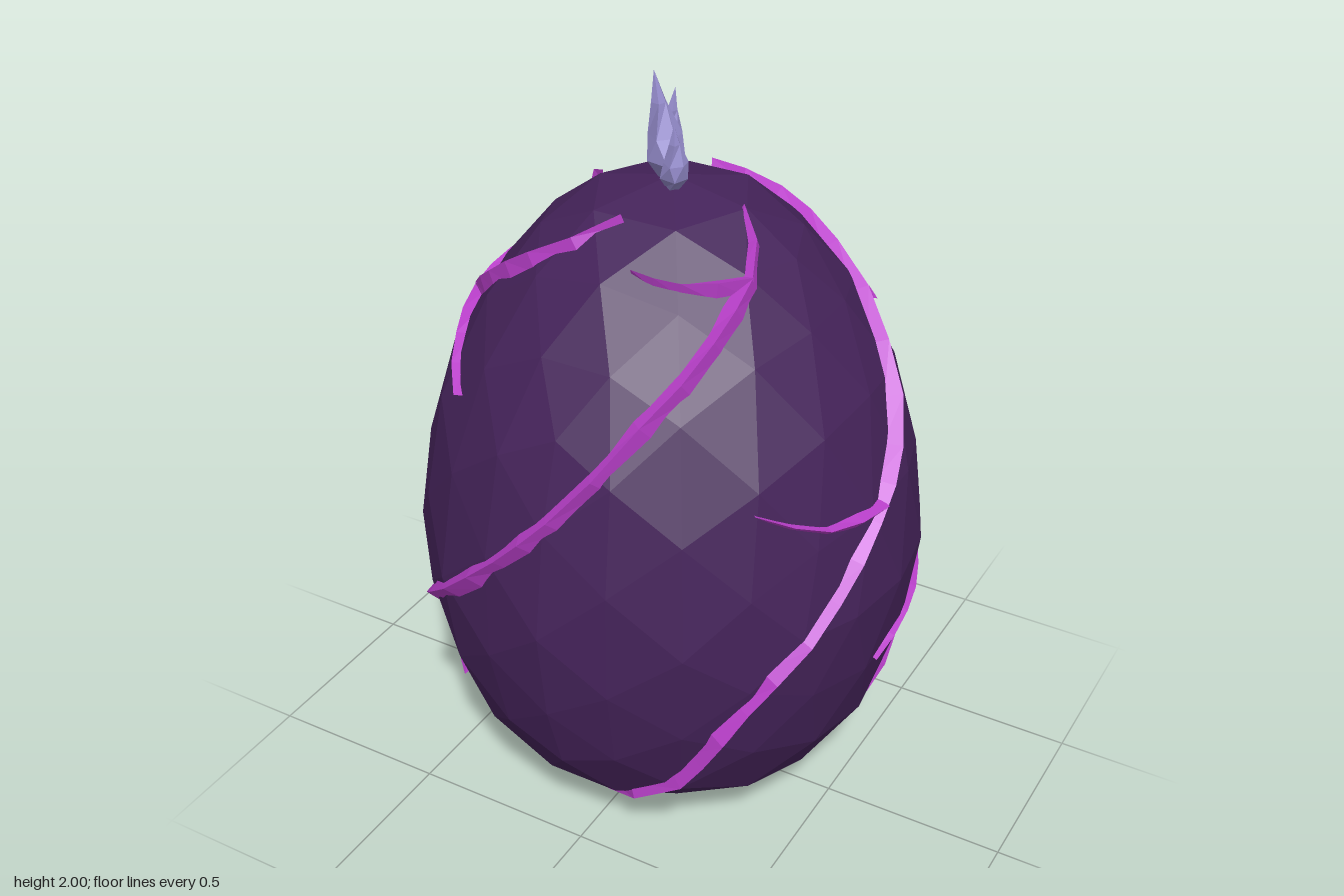
import * as THREE from 'three';

const shellMat = new THREE.MeshStandardMaterial({ color: 0x45235a });
shellMat.name = 'dark purple shell';
const veinMat = new THREE.MeshStandardMaterial({ color: 0xb93fca });
veinMat.name = 'magenta vein';
const crystalMat = new THREE.MeshStandardMaterial({ color: 0x988fd0 });
crystalMat.name = 'lavender crystal';
for (const m of [shellMat, veinMat, crystalMat]) m.flatShading = true;

// Egg outline as [height, radius]
const PROFILE = [
  [0, 0.22], [0.14, 0.45], [0.3, 0.565], [0.5, 0.63], [0.76, 0.667], [1.03, 0.63], [1.23, 0.58],
  [1.43, 0.47], [1.6, 0.34], [1.7, 0.21], [1.735, 0.1], [1.745, 0],
];

function radiusAt(y) {
  for (let i = 1; i < PROFILE.length; i++) {
    const [y0, r0] = PROFILE[i - 1], [y1, r1] = PROFILE[i];
    if (y <= y1) return r0 + (r1 - r0) * (y - y0) / (y1 - y0);
  }
  return 0;
}

// Point on the egg at an angle in degrees (0 = front, 90 = +x)
function onEgg(deg, y) {
  const a = THREE.MathUtils.degToRad(deg), r = radiusAt(y);
  return new THREE.Vector3(r * Math.sin(a), y, r * Math.cos(a));
}

function eggNormal(deg, y) {
  const a = THREE.MathUtils.degToRad(deg), e = 0.06;
  const hi = Math.min(y + e, 1.74), lo = Math.max(y - e, 0);
  const slope = (radiusAt(hi) - radiusAt(lo)) / (hi - lo);
  return new THREE.Vector3(Math.sin(a), -slope, Math.cos(a)).normalize();
}

// Faceted ball reshaped to the egg outline, with a flat foot
function makeShell() {
  const geo = new THREE.IcosahedronGeometry(1, 3);
  const pos = geo.attributes.position;
  const d = new THREE.Vector3();
  for (let i = 0; i < pos.count; i++) {
    d.fromBufferAttribute(pos, i).normalize();
    const flat = Math.hypot(d.x, d.z);
    let y = 0.78 + d.y * (d.y > 0 ? 0.965 : 0.86);
    let r = radiusAt(y);
    if (y < 0) { y = 0; r = Math.min(0.22, flat * 0.76); }
    const k = flat > 1e-5 ? r / flat : 0;
    pos.setXYZ(i, d.x * k, y, d.z * k);
  }
  geo.computeVertexNormals();
  return geo;
}

// Skin closed rings of equal length into a surface
function skin(rings) {
  const n = rings[0].length, v = [], index = [];
  rings.forEach((ring) => ring.forEach((p) => v.push(p.x, p.y, p.z)));
  for (let i = 0; i < rings.length - 1; i++) {
    for (let j = 0; j < n; j++) {
      const a = i * n + j, b = i * n + (j + 1) % n;
      index.push(a, b, b + n, a, b + n, a + n);
    }
  }
  const geo = new THREE.BufferGeometry();
  geo.setAttribute('position', new THREE.Float32BufferAttribute(v, 3));
  geo.setIndex(index);
  const out = geo.toNonIndexed();
  out.computeVertexNormals();
  return out;
}

// Ridged strip that follows [angle, height] points over the shell
function makeVein(path, width, taper) {
  const curve = new THREE.CatmullRomCurve3(path.map(([a, y]) => new THREE.Vector3(a / 100, y, 0)));
  const steps = (path.length - 1) * 2;
  const at = (t) => {
    const p = curve.getPoint(THREE.MathUtils.clamp(t, 0, 1));
    return [p.x * 100, p.y];
  };
  const rings = [];
  for (let i = 0; i <= steps; i++) {
    const t = i / steps;
    const [a, y] = at(t);
    const p = onEgg(a, y), n = eggNormal(a, y);
    const tangent = onEgg(...at(t + 0.02)).sub(onEgg(...at(t - 0.02))).normalize();
    const side = tangent.cross(n).normalize();
    const s = taper(t) * (1 + 0.12 * Math.sin(i * 2.4));
    const place = (across, up) => p.clone().addScaledVector(side, across).addScaledVector(n, up);
    rings.push([place(-width * s, -0.02), place(width * 0.15 * s, 0.004 + 0.018 * s), place(width * s, -0.02)]);
  }
  return skin(rings);
}

// Five-sided shard: narrow foot, swollen waist, pointed tip
function makeCrystal(foot, waist, tip, size) {
  const rings = [[0, 0.55], [0.2, 1], [0.42, 0.8], [0.72, 0.38], [1, 0]].map(([t, w], i) => {
    const c = t < 0.3 ? foot.clone().lerp(waist, t / 0.3) : waist.clone().lerp(tip, (t - 0.3) / 0.7);
    return Array.from({ length: 5 }, (_, j) => {
      const a = (j + (i % 2) * 0.35) / 5 * Math.PI * 2;
      const r = size * w * (j % 2 ? 0.85 : 1.1);
      return new THREE.Vector3(c.x + r * Math.sin(a), c.y, c.z + r * Math.cos(a));
    });
  });
  return skin(rings);
}

const VEINS = [
  [[-8, 1.705], [-41, 1.58], [-60, 1.47], [-75, 1.37], [-92, 1.18], [-101, 1.0], [-113, 0.83], [-128, 0.65],
    [-140, 0.48], [-150, 0.31], [-175, 0.1]],
  [[90, 1.705], [62, 1.6], [43, 1.5], [22, 1.34], [2, 1.1], [-11, 0.95], [-27, 0.78], [-48, 0.6],
    [-62, 0.45], [-74, 0.31], [-86, 0.11]],
  [[180, 1.705], [158, 1.6], [135, 1.5], [110, 1.33], [95, 1.13], [81, 1.0], [67, 0.85], [52, 0.68],
    [41, 0.5], [32, 0.32], [3, 0.1]],
  [[-90, 1.705], [-113, 1.62], [-130, 1.53], [-153, 1.37], [-170, 1.13], [-189, 0.92], [-204, 0.82], [-227, 0.65],
    [-238, 0.5], [-250, 0.33], [-270, 0.13]],
];

const BRANCHES = [
  [[-75, 1.37], [-58, 1.32], [-39, 1.25]],
  [[-75, 1.37], [-90, 1.42], [-109, 1.45]],
  [[62, 1.6], [33, 1.61], [11, 1.63]],
  [[-74, 0.32], [-60, 0.33], [-41, 0.37]],
  [[124, 1.38], [145, 1.35], [162, 1.3]],
  [[84, 1.03], [66, 1.05], [48, 1.14]],
  [[131, 0.65], [115, 0.63], [100, 0.6], [84, 0.56]],
  [[110, 0.33], [122, 0.35], [143, 0.37]],
];

export function createModel() {
  const model = new THREE.Group();
  model.name = 'crystalEgg';
  const add = (geo, mat, name) => {
    const mesh = new THREE.Mesh(geo, mat);
    mesh.name = name;
    model.add(mesh);
  };

  add(makeShell(), shellMat, 'shell');

  // Four spiralling veins and their side branches
  const mainTaper = (t) => Math.min(1, 0.25 + t * 8, 0.2 + (1 - t) * 8);
  VEINS.forEach((path, i) => add(makeVein(path, 0.034, mainTaper), veinMat, `vein${i + 1}`));
  BRANCHES.forEach((path, i) => add(makeVein(path, 0.03, (t) => 1 - 0.85 * t), veinMat, `veinBranch${i + 1}`));

  // Crystal crown: tall centre shard between two short ones
  const v = (x, y, z) => new THREE.Vector3(x, y, z);
  add(makeCrystal(v(0, 1.73, 0), v(-0.012, 1.81, 0), v(-0.05, 2, 0), 0.05), crystalMat, 'centreCrystal');
  add(makeCrystal(v(0.025, 1.73, 0.035), v(0.052, 1.79, 0.07), v(0.05, 1.91, 0.08), 0.036), crystalMat, 'frontCrystal');
  add(makeCrystal(v(-0.02, 1.73, -0.035), v(-0.048, 1.79, -0.07), v(-0.04, 1.93, -0.085), 0.036), crystalMat, 'backCrystal');

  return model;
}
